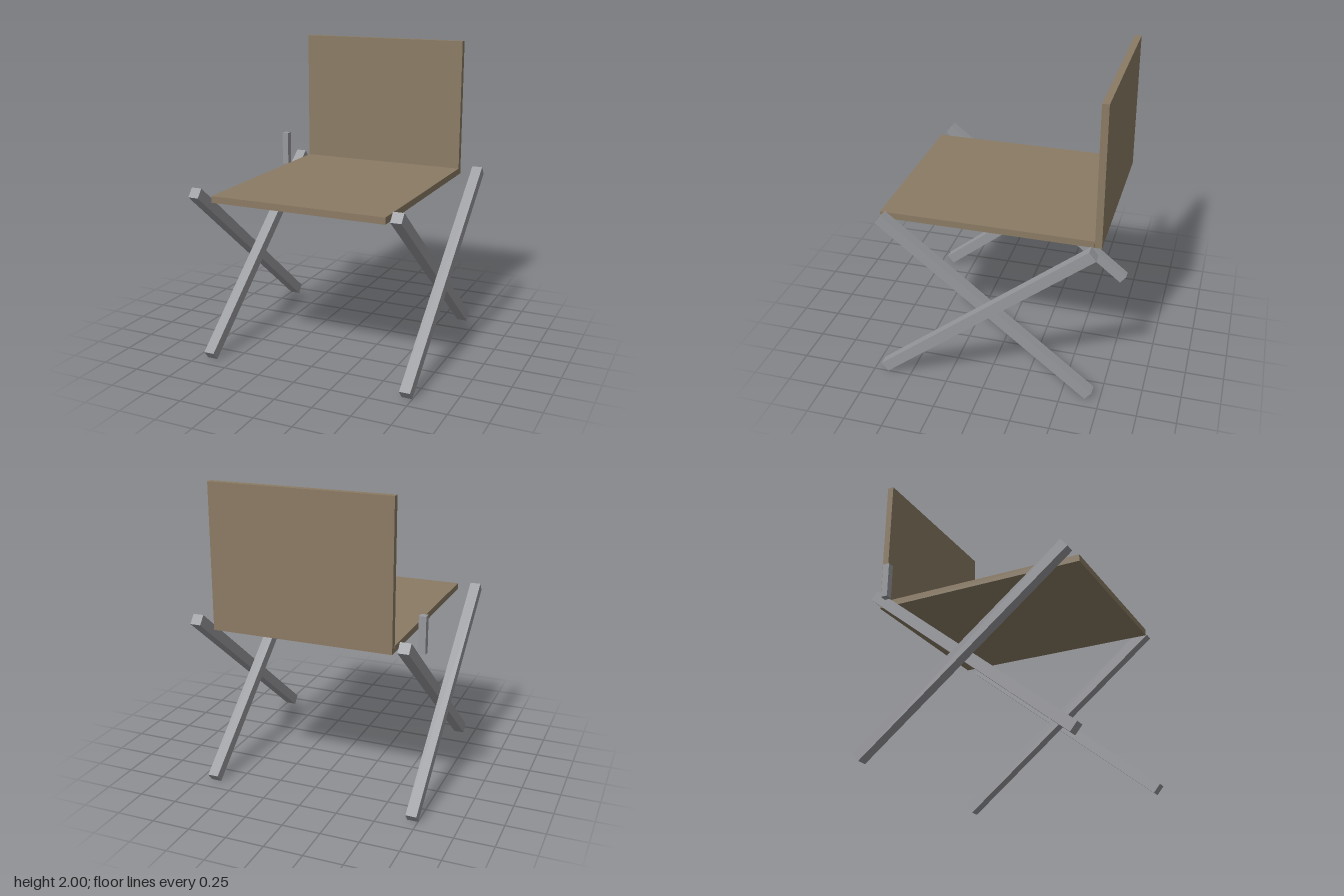
import * as THREE from 'three';

export function createModel() {
  const model = new THREE.Group();
  model.name = 'foldingChair';

  const canvas = new THREE.MeshStandardMaterial({ color: 0x8b7b64 });
  canvas.name = 'brown canvas';
  const metal = new THREE.MeshStandardMaterial({ color: 0x98999d });
  metal.name = 'grey metal';

  // Box given by its size and centre
  const box = (name, material, size, centre) => {
    const mesh = new THREE.Mesh(new THREE.BoxGeometry(...size), material);
    mesh.name = name;
    mesh.position.set(...centre);
    model.add(mesh);
    return mesh;
  };

  // Seat and upright backrest
  box('seat', canvas, [1.162, 0.043, 1.358], [0, 1.099, 0.022]);
  box('backrest', canvas, [1.162, 0.922, 0.043], [0, 1.539, -0.68]);

  // Crossed legs: on each side one bar rises to the front, its neighbour to the back
  const tilt = Math.atan2(1.0925, 1.356);
  const bars = [
    ['rightFrontRisingLeg', -0.7175, -1],
    ['rightBackRisingLeg', -0.6465, 1],
    ['leftFrontRisingLeg', 0.6445, -1],
    ['leftBackRisingLeg', 0.7155, 1],
  ];
  for (const [name, x, direction] of bars) {
    box(name, metal, [0.07, 0.07, 1.741], [x, 0.574, 0]).rotation.x = direction * tilt;
  }

  // Short upright post beside the seat
  box('sidePost', metal, [0.045, 0.232, 0.045], [-0.72, 1.176, -0.56]);

  return model;
}
